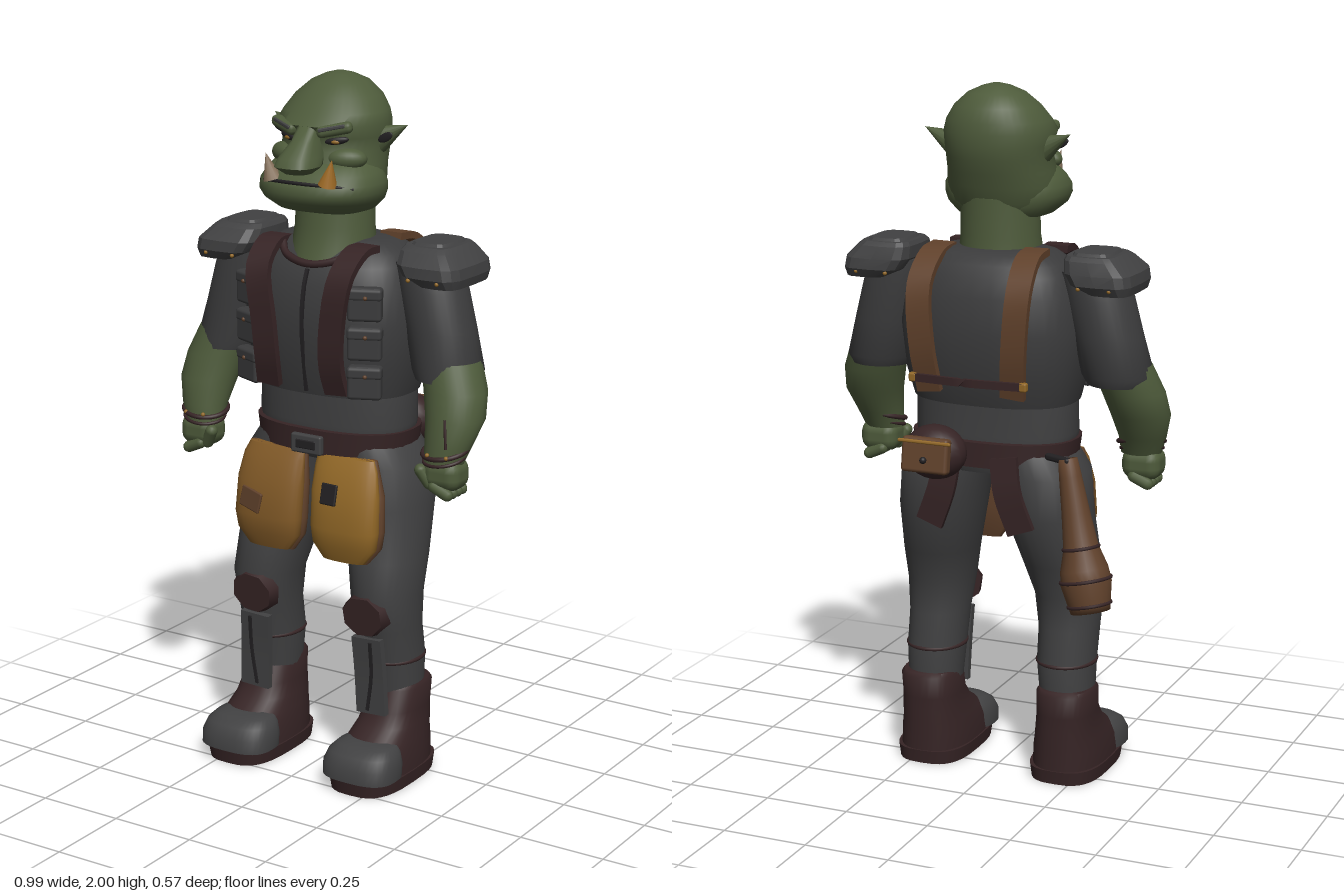
import * as THREE from 'three';
import { toCreasedNormals } from 'three/addons/utils/BufferGeometryUtils.js';
import { RoundedBoxGeometry } from 'three/addons/geometries/RoundedBoxGeometry.js';

const mat = (name, color) => {
  const m = new THREE.MeshStandardMaterial({ color });
  m.name = name;
  return m;
};
const skin = mat('green skin', 0x4e5b3b);
const cloth = mat('grey cloth', 0x414142);
const armour = mat('dark grey vest', 0x3b3b3c);
const maroon = mat('maroon leather', 0x362425);
const brown = mat('brown leather', 0x60412b);
const gold = mat('ochre', 0x926827);
const wornGold = mat('worn ochre', 0x825a27);
const tuskGold = mat('amber tusk', 0xa06c26);
const bone = mat('bone', 0x85705a);
const dark = mat('dark trim', 0x222022);

const V = (x, y, z) => new THREE.Vector3(x, y, z);

// Closed surface through a list of rings of points, capped at both ends
function skinRings(rings, crease = 0.9) {
  const n = rings[0].length, pos = [], idx = [];
  const centre = (r) => r.reduce((a, p) => a.add(p), V(0, 0, 0)).divideScalar(n);
  const last = (rings.length - 1) * n, c0 = rings.length * n;
  [...rings.flat(), centre(rings[0]), centre(rings.at(-1))].forEach((p) => pos.push(p.x, p.y, p.z));
  for (let j = 0; j < n; j++) {
    const k = (j + 1) % n;
    for (let i = 0; i < last; i += n) idx.push(i + j, i + n + j, i + k, i + k, i + n + j, i + n + k);
    idx.push(c0, j, k, c0 + 1, last + k, last + j);
  }
  const g = new THREE.BufferGeometry();
  g.setAttribute('position', new THREE.Float32BufferAttribute(pos, 3));
  g.setIndex(idx);
  return toCreasedNormals(g, crease);
}

// Horizontal rounded sections, bottom up: [y, centre x, half width, back z, front z]
function loft(sections, power = 2, seg = 32, crease = 0.9) {
  const e = 2 / power, f = (v) => Math.sign(v) * Math.abs(v) ** e;
  return skinRings(sections.map(([y, cx, rx, zb, zf]) => Array.from({ length: seg }, (_, j) => {
    const t = (j / seg) * Math.PI * 2;
    return V(cx + rx * f(Math.cos(t)), y, (zb + zf) / 2 + ((zf - zb) / 2) * f(Math.sin(t)));
  })), crease);
}

// Flat strap of given width (along x) and thickness following a curve
function band(points, w, t) {
  const curve = new THREE.CatmullRomCurve3(points.map((p) => V(...p)));
  const rings = [];
  for (let i = 0; i <= 16; i++) {
    const p = curve.getPoint(i / 16), T = curve.getTangent(i / 16);
    const X = V(1, 0, 0).addScaledVector(T, -T.x).normalize(), N = X.clone().cross(T);
    rings.push([[1, -1], [1, 1], [-1, 1], [-1, -1]].map(([a, b]) =>
      p.clone().addScaledVector(X, (a * w) / 2).addScaledVector(N, (b * t) / 2)));
  }
  return skinRings(rings, 0.6);
}

const cord = (points, r) => new THREE.TubeGeometry(new THREE.CatmullRomCurve3(points.map((p) => V(...p))), 24, r, 8);

export function createModel() {
  const model = new THREE.Group();
  model.name = 'armouredBrute';
  const add = (name, geo, m, p = [0, 0, 0], r = [0, 0, 0], s = [1, 1, 1]) => {
    const mesh = new THREE.Mesh(geo, m);
    mesh.name = name;
    mesh.position.set(...p);
    mesh.rotation.set(...r);
    mesh.scale.set(...s);
    model.add(mesh);
  };
  const rbox = (w, h, d, r = 0.01) => new RoundedBoxGeometry(w, h, d, 2, r);
  const ball = new THREE.SphereGeometry(1, 20, 14);
  const ring = (r, t) => new THREE.TorusGeometry(r, t, 8, 32).rotateX(Math.PI / 2);

  // Head, jaw and neck
  add('head', loft([[1.63, 0, 0.11, -0.06, 0.12], [1.675, 0, 0.15, -0.085, 0.17],
    [1.72, 0, 0.158, -0.1, 0.175], [1.76, 0, 0.152, -0.115, 0.168], [1.8, 0, 0.15, -0.128, 0.152], [1.835, 0, 0.152, -0.135, 0.148],
    [1.87, 0, 0.158, -0.135, 0.172], [1.9, 0, 0.147, -0.132, 0.145], [1.94, 0, 0.12, -0.12, 0.11],
    [1.975, 0, 0.08, -0.09, 0.07], [1.993, 0, 0.04, -0.05, 0.03], [2, 0, 0.012, -0.02, 0]], 2.1, 40, 1.2), skin);
  add('jaw', loft([[1.622, 0, 0.09, -0.03, 0.11], [1.637, 0, 0.135, -0.06, 0.175], [1.665, 0, 0.168, -0.07, 0.212],
    [1.69, 0, 0.178, -0.075, 0.228], [1.715, 0, 0.178, -0.07, 0.218], [1.74, 0, 0.165, -0.06, 0.198], [1.77, 0, 0.14, -0.05, 0.165]],
    2.3, 40, 1.2), skin);
  add('neck', loft([[1.48, 0, 0.12, -0.1, 0.15], [1.52, 0, 0.12, -0.095, 0.138], [1.58, 0, 0.113, -0.092, 0.125],
    [1.69, 0, 0.112, -0.092, 0.12]]), skin);
  add('nose', loft([[1.747, 0, 0.035, 0.14, 0.235], [1.767, 0, 0.058, 0.14, 0.262], [1.79, 0, 0.052, 0.12, 0.252],
    [1.83, 0, 0.035, 0.1, 0.205], [1.87, 0, 0.03, 0.1, 0.172]], 3, 20), skin);
  add('mouth', cord([-1, -0.6, 0, 0.6, 1].map((a) => [0.178 * Math.sin(a), 1.722 - 0.012 * a * a, 0.073 + 0.145 * Math.cos(a * 0.94)]), 0.005), dark);

  // Torso, vest and belt
  add('waist', loft([[0.92, 0, 0.17, -0.13, 0.11], [0.96, 0, 0.225, -0.145, 0.135], [1.03, 0, 0.238, -0.145, 0.14],
    [1.15, 0, 0.235, -0.15, 0.14]], 2.4), cloth);
  add('vest', loft([[1.12, 0, 0.238, -0.165, 0.16], [1.2, 0, 0.258, -0.19, 0.178], [1.33, 0, 0.272, -0.2, 0.186],
    [1.43, 0, 0.256, -0.19, 0.172], [1.485, 0, 0.235, -0.172, 0.148], [1.515, 0, 0.215, -0.155, 0.122], [1.54, 0, 0.175, -0.13, 0.1],
    [1.55, 0, 0.13, -0.1, 0.08]], 2.5, 40), armour);
  add('collar', cord([[-0.12, 1.535, 0.1], [-0.085, 1.505, 0.135], [0, 1.488, 0.154], [0.085, 1.505, 0.135], [0.12, 1.535, 0.1]], 0.011), maroon);
  add('zip', band([[0, 1.475, 0.158], [0, 1.43, 0.175], [0, 1.33, 0.188], [0, 1.13, 0.165]], 0.01, 0.008), dark);
  add('belt', loft([[0.945, 0, 0.235, -0.168, 0.155], [1.016, 0, 0.245, -0.168, 0.158]], 2.4), maroon);
  add('buckle', rbox(0.1, 0.055, 0.02, 0.006), cloth, [0, 0.975, 0.162]);
  add('buckleInset', rbox(0.065, 0.025, 0.008, 0.003), dark, [0, 0.975, 0.171]);
  add('backCrossStrap', band([[-0.17, 1.2, -0.215], [0, 1.2, -0.226], [0.17, 1.2, -0.215]], 0.012, 0.022), maroon);

  for (const s of [1, -1]) {
    // Face details
    add('ear', new THREE.ConeGeometry(0.05, 0.125, 14), skin, [s * 0.163, 1.84, -0.002], [0, s * 0.15, -s * 1.1], [1, 1, 0.85]);
    add('earHollow', ball, dark, [s * 0.172, 1.836, 0.033], [0, 0, -s * 1.1], [0.012, 0.025, 0.004]);
    add('eyeSocket', ball, dark, [s * 0.077, 1.832, 0.129], [0, s * 0.35, s * 0.15], [0.034, 0.011, 0.01]);
    add('eye', ball, gold, [s * 0.077, 1.829, 0.135], [0, s * 0.35, 0], [0.013, 0.006, 0.007]);
    add('brow', rbox(0.1, 0.032, 0.036, 0.014), skin, [s * 0.08, 1.864, 0.144], [0, s * 0.4, s * 0.2]);
    add('browHair', rbox(0.075, 0.01, 0.008, 0.003), cloth, [s * 0.08, 1.87, 0.161], [0, s * 0.4, s * 0.2]);
    add('cheek', ball, skin, [s * 0.1, 1.782, 0.112], [0, s * 0.5, 0], [0.055, 0.03, 0.032]);
    add('tusk', new THREE.ConeGeometry(0.027, 0.075, 12), s > 0 ? tuskGold : bone, [s * 0.098, 1.757, 0.196], [0.1, 0, -s * 0.25]);

    // Vest pouches and shoulder straps
    for (const y of [1.18, 1.29, 1.4]) {
      add('vestPouch', rbox(0.095, 0.094, 0.04), armour, [s * 0.188, y, 0.16], [0, s * 0.4, 0]);
      add('pouchFlap', rbox(0.098, 0.035, 0.045), armour, [s * 0.188, y + 0.028, 0.16], [0, s * 0.4, 0]);
      add('pouchStud', ball, brown, [s * 0.2, y + 0.02, 0.179], [0, 0, 0], [0.006, 0.006, 0.006]);
    }
    add('frontStrap', band([[s * 0.144, 1.535, 0.07], [s * 0.142, 1.532, 0.13], [s * 0.134, 1.47, 0.2], [s * 0.112, 1.33, 0.21],
      [s * 0.106, 1.22, 0.202], [s * 0.112, 1.14, 0.18]], 0.072, 0.02), maroon);
    add('backStrap', band([[s * 0.14, 1.548, -0.05], [s * 0.143, 1.536, -0.13], [s * 0.148, 1.46, -0.205],
      [s * 0.138, 1.3, -0.218], [s * 0.125, 1.16, -0.19]], 0.07, 0.02), brown);
    add('strapClip', rbox(0.024, 0.026, 0.02, 0.006), gold, [s * 0.165, 1.2, -0.213]);

    // Shoulder pads with studs
    add('shoulderPad', loft([[1.45, s * 0.365, 0.062, -0.125, 0.098], [1.475, s * 0.342, 0.092, -0.14, 0.112],
      [1.505, s * 0.33, 0.1, -0.138, 0.11], [1.54, s * 0.312, 0.083, -0.125, 0.08], [1.552, s * 0.308, 0.072, -0.115, 0.06]],
      4, 16, 0.3), cloth);
    add('padPlate', loft([[1.548, s * 0.308, 0.06, -0.105, 0.048], [1.56, s * 0.308, 0.052, -0.098, 0.04]], 4, 16, 0.3), cloth);
    for (const z of [-0.13, 0.105]) for (const x of [0.29, 0.38])
      add('padStud', ball, gold, [s * x, 1.467, z], [0, 0, 0], [0.006, 0.006, 0.006]);

    // Arms and fists
    add('sleeve', loft([[1.185, s * 0.362, 0.09, -0.085, 0.1], [1.21, s * 0.36, 0.102, -0.095, 0.1],
      [1.32, s * 0.333, 0.1, -0.1, 0.09], [1.43, s * 0.305, 0.1, -0.1, 0.085], [1.5, s * 0.28, 0.09, -0.09, 0.07]]), armour);
    add('forearm', loft([[0.97, s * 0.4, 0.058, 0.04, 0.14], [1.02, s * 0.408, 0.068, 0.015, 0.14],
      [1.09, s * 0.412, 0.085, -0.03, 0.128], [1.16, s * 0.398, 0.09, -0.06, 0.11], [1.24, s * 0.37, 0.085, -0.08, 0.09]]), skin);
    add('wristband', ring(0.062, 0.007), maroon, [s * 0.402, 1.003, 0.085], [0.25, 0, s * 0.1], [1.05, 1, 0.95]);
    add('wristbandLower', ring(0.06, 0.005), maroon, [s * 0.402, 0.982, 0.09], [0.25, 0, s * 0.1], [1, 1, 0.9]);
    for (const x of [0.375, 0.435]) add('wristStud', ball, gold, [s * x, 0.996, 0.138], [0, 0, 0], [0.006, 0.006, 0.006]);
    add('palm', rbox(0.115, 0.09, 0.1, 0.035), skin, [s * 0.408, 0.94, 0.09]);
    for (let i = 0; i < 4; i++)
      add('finger', new THREE.CapsuleGeometry(0.017, 0.045, 4, 10), skin, [s * 0.413, 0.898, 0.05 + i * 0.026], [0, 0, s * 1.15]);
    add('thumb', new THREE.CapsuleGeometry(0.018, 0.045, 4, 10), skin, [s * 0.362, 0.93, 0.125], [0.3, 0, s * 0.5]);

    // Legs with knee and shin guards
    add('leg', loft([[0.2, s * 0.21, 0.075, -0.06, 0.1], [0.35, s * 0.205, 0.083, -0.072, 0.122], [0.45, s * 0.204, 0.085, -0.055, 0.148],
      [0.55, s * 0.2, 0.095, -0.06, 0.172], [0.65, s * 0.187, 0.106, -0.1, 0.155], [0.8, s * 0.163, 0.122, -0.155, 0.132],
      [0.92, s * 0.148, 0.128, -0.16, 0.135], [0.985, s * 0.115, 0.115, -0.145, 0.13]], 2.2), cloth);
    add('kneePad', new THREE.CylinderGeometry(0.066, 0.076, 0.035, 8).rotateY(Math.PI / 8).rotateX(Math.PI / 2), maroon,
      [s * 0.188, 0.5, 0.155], [0.1, 0, s * 0.1], [1, 0.9, 1]);
    add('shinGuard', band([[s * 0.19, 0.43, 0.145], [s * 0.195, 0.32, 0.136], [s * 0.2, 0.2, 0.132]], 0.095, 0.02), cloth);
    add('shinSeam', band([[s * 0.205, 0.42, 0.156], [s * 0.205, 0.32, 0.147], [s * 0.19, 0.21, 0.143]], 0.009, 0.008), dark);
    add('calfStrap', ring(0.083, 0.006), maroon, [s * 0.205, 0.35, 0.025], [0, 0, 0], [1, 1, 1.14]);
    add('hipTab', band([[s * 0.085, 0.98, -0.162], [s * 0.1, 0.88, -0.17], [s * 0.14, 0.77, -0.166]], 0.08, 0.016), maroon);

    // Padded thigh plates with a leather rim
    add('thighPlate', loft([[0.655, s * 0.125, 0.068, 0.145, 0.185], [0.7, s * 0.127, 0.102, 0.13, 0.202],
      [0.75, s * 0.128, 0.108, 0.125, 0.21], [0.85, s * 0.125, 0.108, 0.12, 0.196], [0.92, s * 0.12, 0.1, 0.12, 0.172],
      [0.95, s * 0.115, 0.092, 0.12, 0.155]], 2.5), s > 0 ? gold : wornGold);
    add('thighPlateRim', loft([[0.65, s * 0.125, 0.072, 0.135, 0.16], [0.7, s * 0.127, 0.107, 0.12, 0.172],
      [0.75, s * 0.128, 0.113, 0.115, 0.172], [0.85, s * 0.125, 0.113, 0.112, 0.162], [0.95, s * 0.115, 0.096, 0.115, 0.145]], 3), brown);

    // Boots
    add('sole', loft([[0, s * 0.21, 0.105, -0.085, 0.272], [0.04, s * 0.21, 0.11, -0.09, 0.28]], 3), maroon);
    add('boot', loft([[0.04, s * 0.21, 0.106, -0.086, 0.265], [0.09, s * 0.21, 0.103, -0.086, 0.25], [0.125, s * 0.21, 0.095, -0.086, 0.21],
      [0.16, s * 0.211, 0.088, -0.086, 0.15], [0.2, s * 0.212, 0.083, -0.086, 0.118], [0.265, s * 0.214, 0.083, -0.09, 0.105],
      [0.275, s * 0.214, 0.076, -0.082, 0.098]], 2.5), maroon);
    add('toeCap', loft([[0.042, s * 0.21, 0.112, 0.12, 0.285], [0.08, s * 0.21, 0.112, 0.115, 0.283], [0.11, s * 0.21, 0.102, 0.115, 0.264],
      [0.128, s * 0.21, 0.085, 0.115, 0.235], [0.136, s * 0.21, 0.06, 0.12, 0.205]], 2.8), cloth);
  }
  // Forearm scar and plain mends on the thigh plates
  add('scar', cord([[0.422, 1.1, 0.125], [0.428, 1.06, 0.132], [0.432, 1.02, 0.135]], 0.004), maroon);
  add('plateMend', rbox(0.08, 0.06, 0.009, 0.004), brown, [-0.165, 0.795, 0.203], [-0.12, -0.22, -0.2]);
  add('darkMend', rbox(0.055, 0.06, 0.009, 0.004), dark, [0.092, 0.85, 0.194], [-0.24, -0.14, 0]);

  // Rear belt pouch
  add('pouch', ball, maroon, [0.11, 0.985, -0.19], [0, 0, 0], [0.092, 0.078, 0.07]);
  add('pouchCover', rbox(0.14, 0.1, 0.035), brown, [0.11, 0.99, -0.252], [0.15, 0, 0]);
  add('pouchTrim', rbox(0.16, 0.01, 0.009, 0.004), gold, [0.11, 1.03, -0.266], [0.15, 0, 0]);
  add('pouchButton', ball, dark, [0.11, 0.98, -0.274], [0, 0, 0], [0.01, 0.01, 0.01]);

  // Flared club hanging from the belt
  const low = V(-0.352, 0.57, -0.172), axis = V(-0.262, 0.99, -0.125).sub(low).normalize();
  const club = new THREE.Group();
  club.name = 'club';
  club.position.copy(low);
  club.quaternion.setFromUnitVectors(V(0, 1, 0), axis);
  const profile = [[0, 0], [0.056, 0], [0.06, 0.02], [0.072, 0.08], [0.068, 0.12], [0.05, 0.18], [0.04, 0.28], [0.032, 0.38], [0.027, 0.43], [0, 0.43]];
  const body = new THREE.Mesh(new THREE.LatheGeometry(profile.map((p) => new THREE.Vector2(...p)), 24), brown);
  body.name = 'clubBody';
  club.add(body);
  for (const [y, r] of [[0.02, 0.06], [0.09, 0.071], [0.18, 0.05]]) {
    const hoop = new THREE.Mesh(ring(r, 0.005), maroon);
    hoop.name = 'clubHoop';
    hoop.position.y = y;
    club.add(hoop);
  }
  model.add(club);
  add('clubHanger', rbox(0.09, 0.02, 0.02, 0.008), dark, [-0.235, 0.985, -0.13], [0, -0.4, 0]);
  return model;
}
